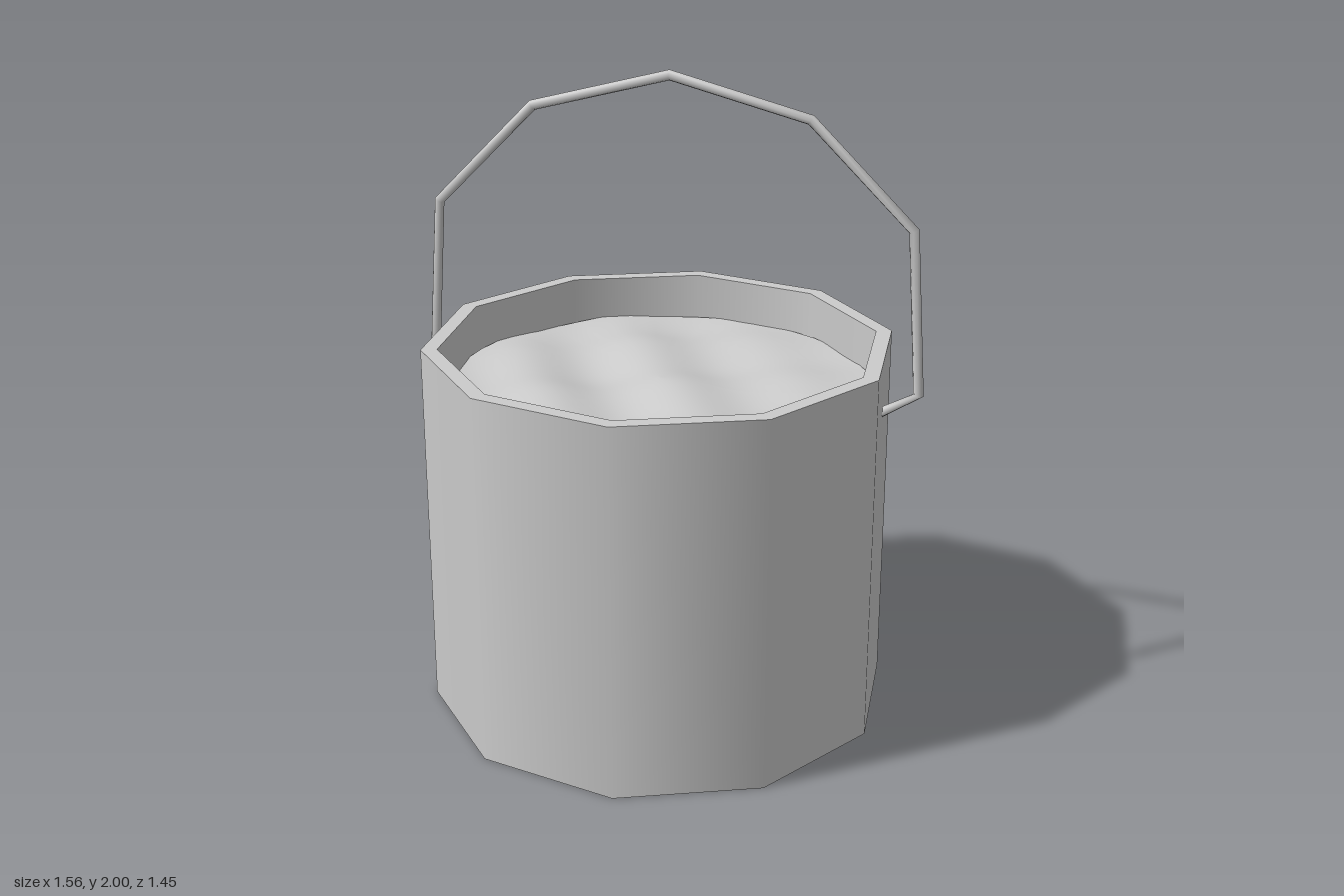
import * as THREE from 'three';

const material = new THREE.MeshStandardMaterial({ color: 0xcccccc });
const thinMaterial = new THREE.MeshStandardMaterial({ color: 0xcccccc, side: THREE.DoubleSide });
const CENTER_X = -0.03;

function addMesh(parent, name, geometry, mat = material) {
  const mesh = new THREE.Mesh(geometry, mat);
  mesh.name = name;
  parent.add(mesh);
  return mesh;
}

// Polyline whose parameter steps evenly from corner to corner
class CornerPath extends THREE.Curve {
  constructor(points) {
    super();
    this.points = points;
  }
  getPoint(t, target = new THREE.Vector3()) {
    const s = t * (this.points.length - 1);
    const i = Math.min(Math.floor(s), this.points.length - 2);
    return target.lerpVectors(this.points[i], this.points[i + 1], s - i);
  }
  getPointAt(t, target) { return this.getPoint(t, target); }
  getTangentAt(t, target) { return this.getTangent(t, target); }
}

// Ten-sided pail: smooth round the sides, sharp at rim and base
function createPail() {
  const pail = new THREE.Group();
  pail.name = 'pail';
  const outer = 0.725, inner = 0.675, height = 1.17, floor = 0.05;
  const profile = [[0, 0], [outer, 0], [outer, height], [inner, height], [inner, floor], [0, floor]]
    .map(([r, y]) => new THREE.Vector2(r, y));
  ['base', 'outerWall', 'rim', 'innerWall', 'floor'].forEach((name, i) => {
    const start = THREE.MathUtils.degToRad(2.4);
    addMesh(pail, name, new THREE.LatheGeometry([profile[i], profile[i + 1]], 10, start));
  });
  pail.position.x = CENTER_X;
  return pail;
}

// Round liquid surface with soft irregular ripples
function createLiquid(parent) {
  const geometry = new THREE.RingGeometry(0, 0.655, 48, 20);
  geometry.rotateX(-Math.PI / 2);
  const pos = geometry.attributes.position;
  for (let i = 0; i < pos.count; i++) {
    const x = pos.getX(i), z = pos.getZ(i);
    const wave = Math.sin(9 * x + 4 * z + 0.6) * Math.cos(11 * z - 3 * x)
      + 0.5 * Math.sin(15 * x - 8 * z + 1.5);
    const fade = 1 - 0.7 * Math.pow(Math.hypot(x, z) / 0.655, 4);
    pos.setY(i, 0.018 * wave * fade);
  }
  geometry.computeVertexNormals();
  addMesh(parent, 'liquid', geometry, thinMaterial).position.set(CENTER_X, 1.03, 0);
}

// Bent wire bail whose ends hook into the wall
function createHandle(parent) {
  const corners = [
    [-0.69, 1.01], [-0.76, 1.07], [-0.725, 1.565], [-0.42, 1.875], [0, 1.985],
    [0.42, 1.875], [0.73, 1.565], [0.765, 1.06], [0.645, 0.99],
  ].map(([x, y]) => new THREE.Vector3(x, y, -0.005 + 0.01 * x));
  const path = new CornerPath(corners);
  addMesh(parent, 'handle', new THREE.TubeGeometry(path, corners.length - 1, 0.016, 8), thinMaterial);
}

export function createModel() {
  const model = new THREE.Group();
  model.name = 'bucket';
  model.add(createPail());
  createLiquid(model);
  createHandle(model);
  return model;
}
